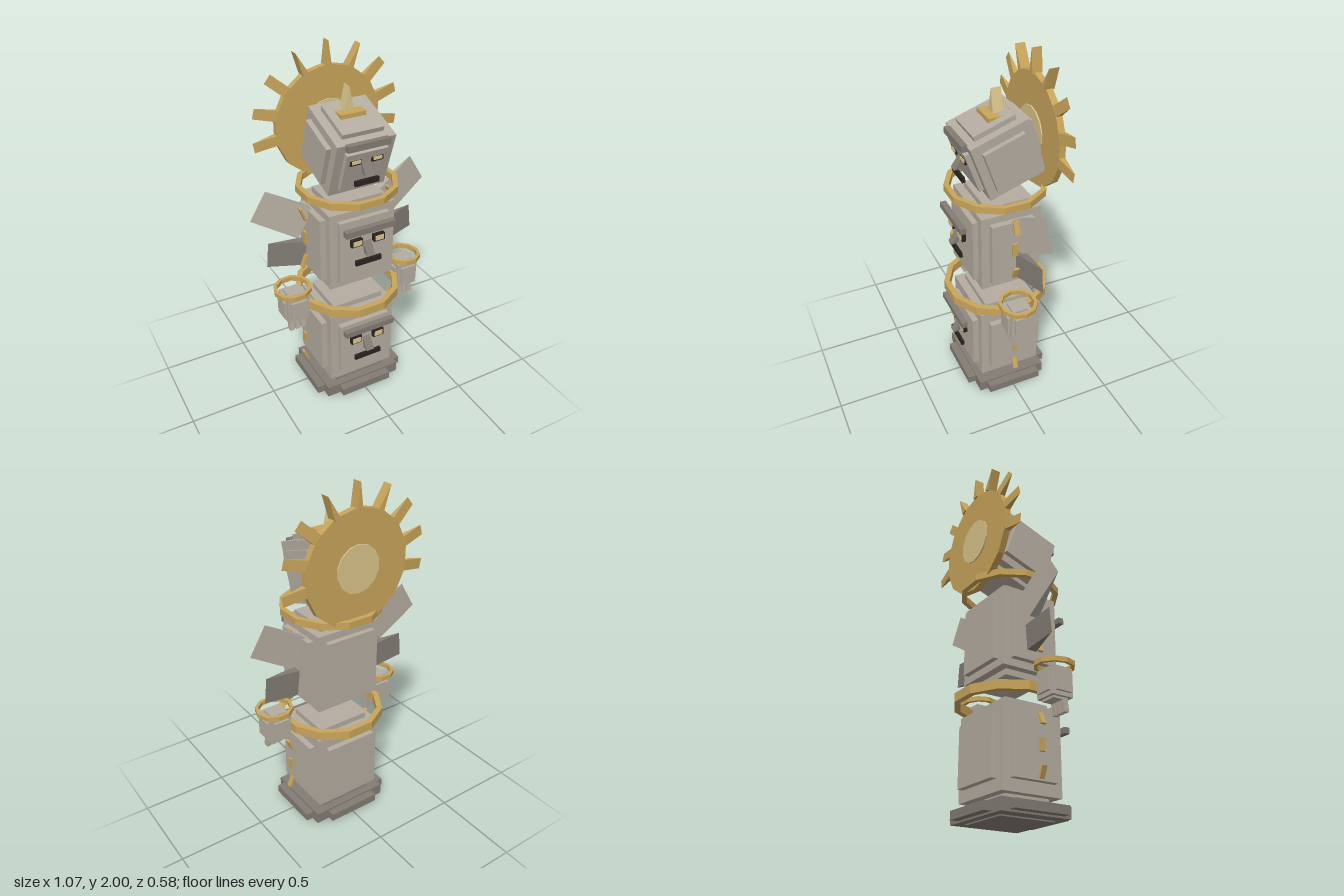
import * as THREE from 'three';

const mat = (name, color) => {
  const m = new THREE.MeshStandardMaterial({ color });
  m.name = name;
  return m;
};

export function createModel() {
  const stone = mat('stone', 0xb4aca0);
  const darkStone = mat('darkStone', 0x827c74);
  const gold = mat('gold', 0xc8a45a);
  const paleGold = mat('paleGold', 0xd9c48a);
  const black = mat('black', 0x2a2220);

  const model = new THREE.Group();
  model.name = 'totem';

  const add = (parent, name, geo, material, pos = [0, 0, 0], rot = [0, 0, 0]) => {
    const mesh = new THREE.Mesh(geo, material);
    mesh.name = name;
    mesh.position.set(...pos);
    mesh.rotation.set(...rot);
    parent.add(mesh);
    return mesh;
  };
  const group = (name, pos = [0, 0, 0], parent = model) => {
    const g = new THREE.Group();
    g.name = name;
    g.position.set(...pos);
    parent.add(g);
    return g;
  };
  const box = (x, y, z) => new THREE.BoxGeometry(x, y, z);
  const flat = (geo) => {
    const g = geo.toNonIndexed();
    g.computeVertexNormals();
    return g;
  };
  // Polygon extruded along z and centred on it
  const prism = (pts, depth) => {
    const shape = new THREE.Shape(pts.map(([x, y]) => new THREE.Vector2(x, y)));
    return new THREE.ExtrudeGeometry(shape, { depth, bevelEnabled: false }).translate(0, 0, -depth / 2);
  };
  const spike = (w, h, depth) => prism([[-w / 2, 0], [w / 2, 0], [0, h]], depth);
  // Faceted band with a rectangular section and a flat side facing x
  const band = (sides, apothem, thick, height) => {
    const k = 1 / Math.cos(Math.PI / sides), h = height / 2;
    const ro = apothem * k, ri = (apothem - thick) * k;
    const pts = [[ri, -h], [ro, -h], [ro, h], [ri, h], [ri, -h]].map(([x, y]) => new THREE.Vector2(x, y));
    return flat(new THREE.LatheGeometry(pts, sides).rotateY(Math.PI / sides));
  };
  // Core box with a raised panel on each of the six faces
  const block = (name, pos, core, out, panel, material, parent = model) => {
    const g = group(name, pos, parent);
    add(g, 'core', box(...core.map((v) => v * 2)), material);
    ['sidePanels', 'topAndBottomPanels', 'frontAndBackPanels'].forEach((label, axis) => {
      const size = panel.map((v, i) => 2 * (i === axis ? core[i] + out[i] : v));
      add(g, label, box(...size), material);
    });
    return g;
  };

  // Stacked blocks
  block('base', [0, 0.04, 0], [0.235, 0.033, 0.205], [0.045, 0.007, 0.045], [0.158, 0.023, 0.16], darkStone);
  block('lowerBody', [0, 0.338, 0], [0.2, 0.228, 0.18], [0.034, 0.032, 0.034], [0.155, 0.165, 0.132], stone);
  block('upperBody', [0, 0.983, 0], [0.194, 0.228, 0.17], [0.034, 0.034, 0.03], [0.15, 0.187, 0.123], stone);
  const head = block('head', [0, 1.505, 0], [0.167, 0.165, 0.165], [0.028, 0.027, 0.027], [0.118, 0.118, 0.118], stone);
  head.rotation.x = 0.33;

  // Faces: brow, eyes, wedge nose and mouth
  const face = (name, f) => {
    const g = group(name, [0, 0, f.z]);
    add(g, 'brow', box(f.brow * 2, 0.034, 0.034), darkStone, [0, f.browY, 0.034]);
    for (const s of [-1, 1]) {
      add(g, 'eyeSocket', box(0.066, f.eyeH, 0.022), black, [s * f.eyeX, f.eyeY, 0.012]);
      add(g, 'eye', box(0.05, f.eyeH * 0.65, 0.022), paleGold, [s * f.eyeX, f.eyeY + f.eyeLift, 0.017]);
    }
    const nose = prism([[0.005, 0.07], [0.018, 0.005], [0.056, 0]], 0.048).rotateY(-Math.PI / 2);
    add(g, 'nose', nose, darkStone, [0, f.noseY, 0]);
    add(g, 'mouth', box(f.mouth * 2, 0.028, 0.017), black, [0, f.mouthY, 0.023]);
  };
  face('lowerFace', { z: 0.228, brow: 0.154, browY: 0.488, eyeX: 0.071, eyeY: 0.409, eyeH: 0.046, eyeLift: 0,
    noseY: 0.332, mouth: 0.083, mouthY: 0.285 });
  face('upperFace', { z: 0.217, brow: 0.148, browY: 1.133, eyeX: 0.067, eyeY: 1.053, eyeH: 0.042, eyeLift: 0,
    noseY: 0.975, mouth: 0.078, mouthY: 0.93 });
  face('headFace', { z: 0.186, brow: 0.12, browY: 1.595, eyeX: 0.061, eyeY: 1.503, eyeH: 0.026, eyeLift: 0.004,
    noseY: 1.43, mouth: 0.069, mouthY: 1.389 });

  // Neck rings
  add(model, 'lowerRing', band(12, 0.292, 0.032, 0.05), gold, [0, 0.628, 0]);
  add(model, 'upperRing', band(12, 0.27, 0.028, 0.038), gold, [0, 1.285, 0]);

  // Crown
  add(model, 'crownPlate', box(0.146, 0.026, 0.146), gold, [0, 1.693, 0]);
  add(model, 'crownSpike', spike(0.056, 0.13, 0.056), paleGold, [0, 1.7, 0]);

  // Sun disc with wedge rays
  const sun = group('sun', [0, 1.565, -0.218]);
  const disc = (r, d) => flat(new THREE.CylinderGeometry(r, r, d, 14).rotateX(Math.PI / 2));
  add(sun, 'sunDisc', disc(0.313, 0.036), gold);
  add(sun, 'sunCentre', disc(0.13, 0.05), paleGold);
  for (let i = -4; i <= 4; i++) {
    const geo = spike(0.034, 0.13, 0.056);
    if (Math.abs(i) > 1) geo.rotateY(Math.PI / 2);
    const a = i * 0.436;
    add(sun, 'sunRay', geo.translate(0, 0.305, 0), gold, [0, 0, 0], [0, 0, a]);
  }

  // Wings: wedges thinning outwards
  const wing = (length, width) =>
    prism([[0, -0.028], [length, -0.025], [0, 0.028]], width).rotateX(Math.PI / 2);
  for (const s of [-1, 1]) {
    const turn = (a) => (s > 0 ? a : Math.PI - a);
    add(model, 'upperWing', wing(0.285, 0.18), stone, [s * 0.245, 1.09, -0.041], [0, 0, turn(0.54)]);
    add(model, 'lowerWing', wing(0.205, 0.146), darkStone, [s * 0.251, 0.908, -0.035], [0, 0, turn(0.097)]);

    // Floating fist with fingers and wrist ring
    const fist = block('fist', [s * 0.355, 0.63, 0.032], [0.063, 0.076, 0.063],
      [0.014, 0.012, 0.014], [0.045, 0.054, 0.045], stone);
    for (let i = -1; i <= 1; i++) {
      add(fist, 'finger', box(0.027, 0.075, 0.03), stone, [i * 0.034, -0.111, 0.028], [-0.12, 0, 0]);
    }
    add(model, 'wristRing', band(10, 0.102, 0.018, 0.026), gold, [s * 0.357, 0.733, 0.03], [0, 0, -s * 0.05]);

    // Gold side marks
    for (let i = -1; i <= 1; i++) {
      add(model, 'lowerMark', box(0.012, 0.068, 0.028), gold, [s * 0.28, 0.338 + i * 0.134, 0.004], [0, 0, -i * 0.4]);
      add(model, 'upperMark', box(0.012, 0.08, 0.03), gold,
        [s * (i ? 0.268 : 0.258), 1.018 + i * 0.148, 0.004], [0, 0, i * 0.36]);
    }
  }
  return model;
}
